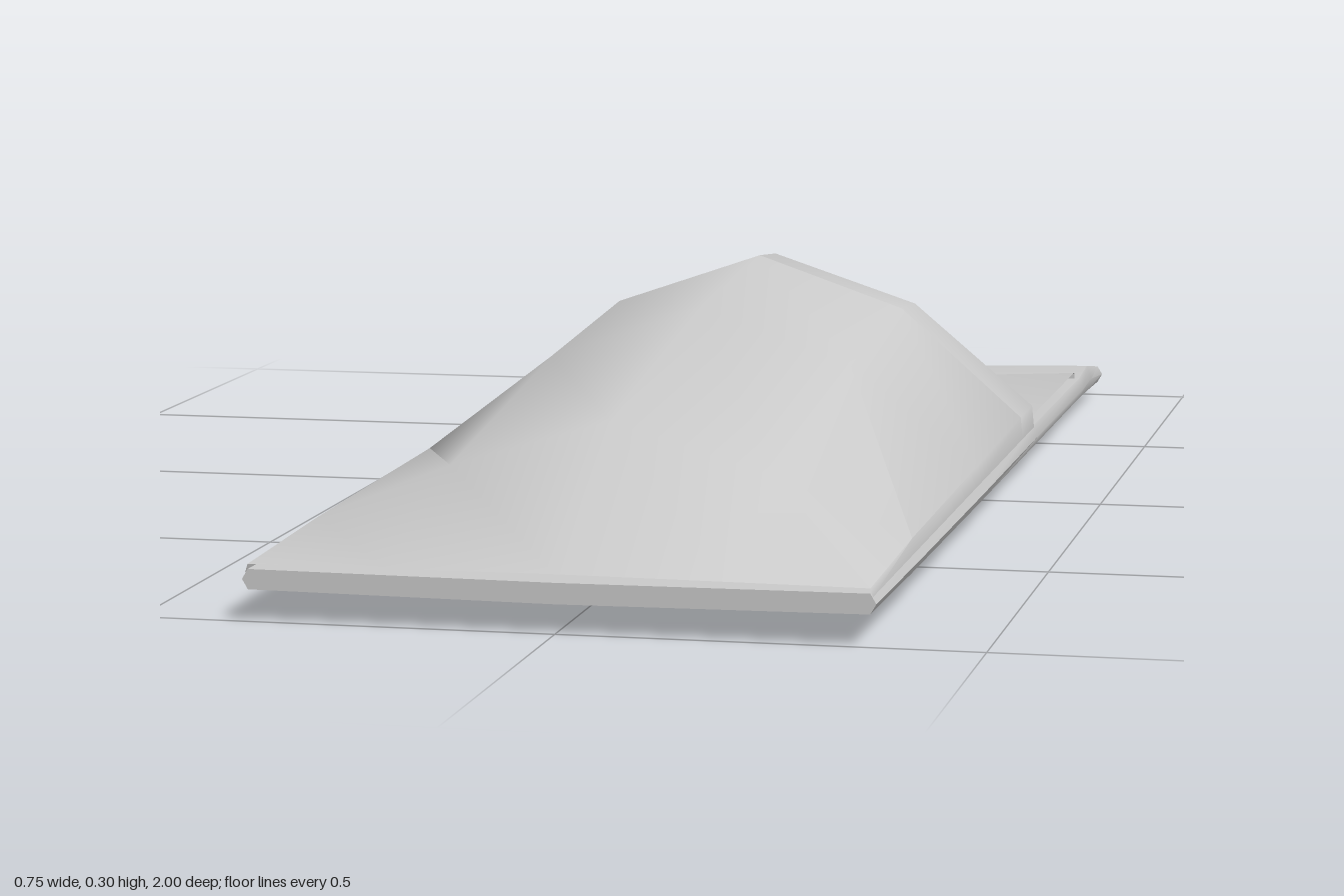
import * as THREE from 'three';
import { toCreasedNormals } from 'three/addons/utils/BufferGeometryUtils.js';

const material = new THREE.MeshStandardMaterial({ color: 0xcccccc, side: THREE.DoubleSide });

// Skin a list of cross-sections (each a list of [x, y, z]) running from front to back.
function loft(name, sections, closed, crease) {
  const n = sections[0].length;
  const index = [];
  for (let i = 0; i < sections.length - 1; i++) {
    for (let j = 0; j < (closed ? n : n - 1); j++) {
      const k = (j + 1) % n;
      const a = i * n + j, b = i * n + k, c = a + n, d = b + n;
      index.push(a, b, c, b, d, c);
    }
  }
  const geometry = new THREE.BufferGeometry();
  geometry.setAttribute('position', new THREE.Float32BufferAttribute(sections.flat(2), 3));
  geometry.setIndex(index);
  const mesh = new THREE.Mesh(toCreasedNormals(geometry, crease), material);
  mesh.name = name;
  return mesh;
}

// Mat: rounded sides, a sagging middle and a raised lip near the back.
function mat() {
  const ring = ([z, topEdge, topMid, bottomEdge, bottomMid]) => {
    const side = (topEdge + bottomEdge) / 2;
    return [
      [-0.367, topEdge, z], [-0.15, topMid * 0.6 + topEdge * 0.4, z], [0, topMid, z],
      [0.15, topMid * 0.6 + topEdge * 0.4, z], [0.367, topEdge, z], [0.374, side, z],
      [0.367, bottomEdge, z], [0, bottomMid, z], [-0.367, bottomEdge, z], [-0.374, side, z],
    ];
  };
  const rings = [
    [1, 0.062, 0.06, 0.038, 0.035], [0.72, 0.06, 0.055, 0.034, 0.02],
    [0.2, 0.058, 0.05, 0.03, 0], [-0.3, 0.058, 0.048, 0.028, 0],
    [-0.78, 0.056, 0.044, 0.026, 0.002], [-0.87, 0.063, 0.042, 0.024, 0.003],
    [-1, 0.044, 0.036, 0.02, 0.005],
  ].map(ring);
  // Close both ends by shrinking to a middle point
  const cap = (z, y) => rings[0].map(() => [0, y, z]);
  return loft('mat', [cap(1, 0.048), ...rings, cap(-1, 0.022)], true, 0.9);
}

// Arched cross-section shared by the cover and its cuff.
function arch(z, edge, shoulder, top, inset = 0) {
  const half = [[0.37 - inset, 0.058], [0.367 - inset, edge], [0.2 - inset * 0.6, shoulder]];
  return [
    ...half.map(([x, y]) => [-x, y, z]),
    [0, top, z],
    ...half.reverse().map(([x, y]) => [x, y, z]),
  ];
}

function cover() {
  return loft('cover', [
    arch(1, 0.068, 0.069, 0.07),
    arch(0.72, 0.076, 0.145, 0.205),
    arch(0.22, 0.082, 0.21, 0.28),
    arch(-0.17, 0.088, 0.235, 0.304),
  ], false, 1);
}

// Cuff: rolls over the opening and back inside as the lining.
function cuff() {
  return loft('cuff', [
    arch(-0.17, 0.088, 0.235, 0.304),
    arch(-0.28, 0.088, 0.228, 0.294),
    arch(-0.3, 0.086, 0.222, 0.287, 0.005),
    arch(-0.305, 0.08, 0.205, 0.268, 0.018),
    arch(-0.29, 0.076, 0.192, 0.255, 0.026),
    arch(0.1, 0.072, 0.175, 0.24, 0.03),
    arch(0.72, 0.068, 0.11, 0.16, 0.03),
  ], false, 1);
}

// Sheet: a shallow dished layer with a turned-down back edge.
function sheet() {
  const row = (z, lift) => [-0.36, -0.18, 0, 0.18, 0.36]
    .map((x) => [x, 0.054 + lift + 0.09 * x * x, z]);
  return loft('sheet', [row(0.6, 0), row(-0.3, 0), row(-0.77, 0), row(-0.78, -0.003), row(-0.78, -0.014)], false, 0.6);
}

export function createModel() {
  const group = new THREE.Group();
  group.name = 'sleepingBag';
  group.add(mat(), sheet(), cover(), cuff());
  return group;
}
